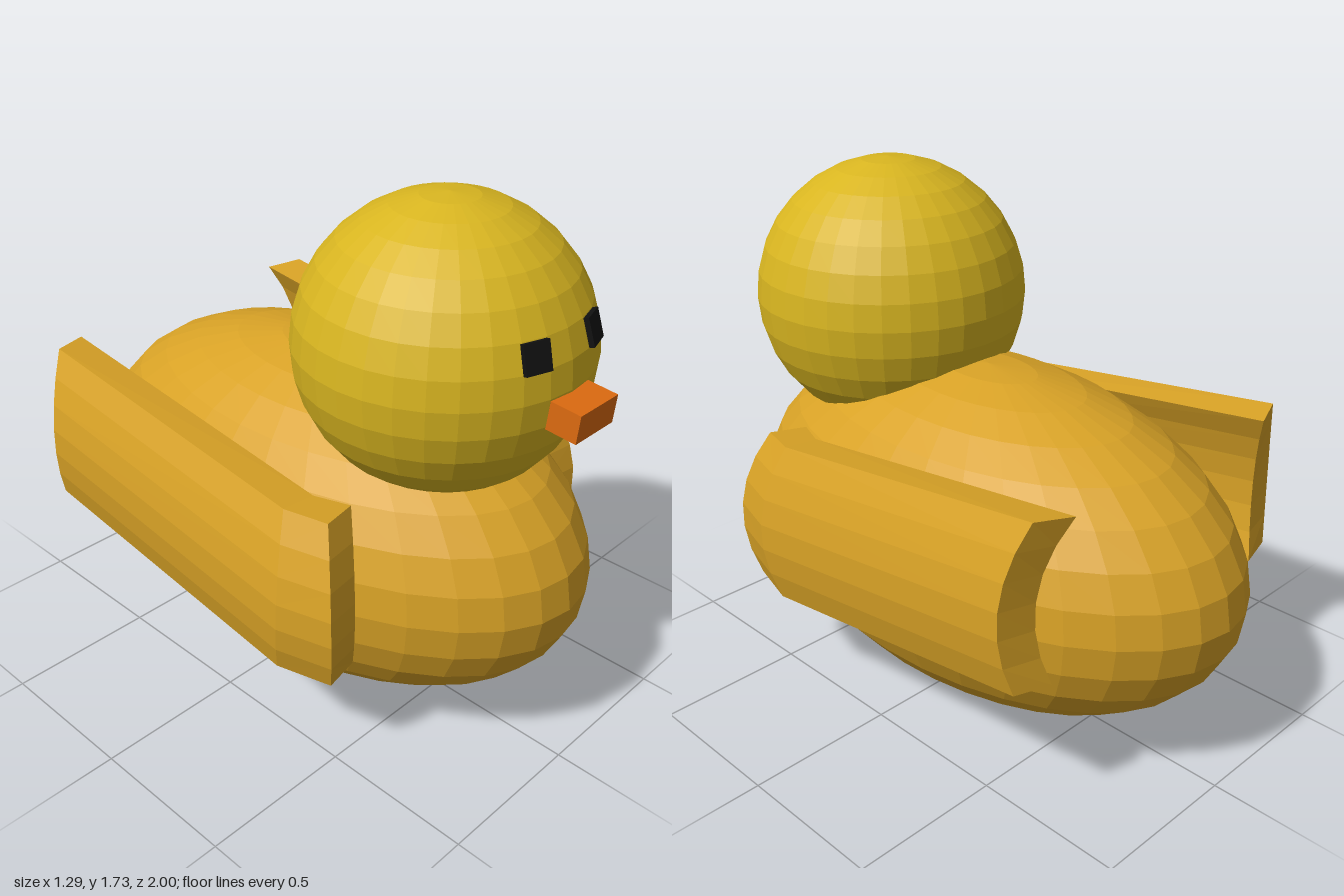
import * as THREE from 'three';

const paint = (color) => new THREE.MeshStandardMaterial({ color, flatShading: true });

function addMesh(parent, name, geometry, material) {
  const mesh = new THREE.Mesh(geometry, material);
  mesh.name = name;
  parent.add(mesh);
  return mesh;
}

// Point on the parabola through top, middle and bottom, t from 0 to 1
function bow([top, mid, bottom], t) {
  const a = 2 * (t - 0.5) * (t - 1), b = 4 * t * (1 - t), c = 2 * t * (t - 0.5);
  return top.map((v, i) => a * v + b * mid[i] + c * bottom[i]);
}

// Wing cross-sections from front to back: [outer, inner], each top, middle, bottom
const WING = [
  [[[0.52, 0.895, 0.49], [0.595, 0.63, 0.575], [0.56, 0.36, 0.54]],
    [[0.395, 0.885, 0.46], [0.47, 0.62, 0.55], [0.435, 0.355, 0.51]]],
  [[[0.56, 0.90, 0.35], [0.645, 0.63, 0.40], [0.61, 0.36, 0.36]],
    [[0.44, 0.89, 0.35], [0.52, 0.62, 0.40], [0.485, 0.355, 0.36]]],
  [[[0.56, 1.04, -0.73], [0.645, 0.78, -0.685], [0.61, 0.51, -0.715]],
    [[0.44, 1.03, -0.775], [0.52, 0.77, -0.71], [0.485, 0.50, -0.745]]],
];

function wingGeometry(side) {
  const n = 6, ring = 2 * (n + 1), positions = [], index = [];
  for (const [outer, inner] of WING) {
    for (let i = 0; i <= n; i++) positions.push(...bow(outer, i / n));
    for (let i = n; i >= 0; i--) positions.push(...bow(inner, i / n));
  }
  for (let i = 0; i < positions.length; i += 3) positions[i] *= side;
  const quad = (a, b, c, d) =>
    side > 0 ? index.push(a, b, c, a, c, d) : index.push(a, c, b, a, d, c);
  // Skin between the cross-sections
  for (let s = 0; s < WING.length - 1; s++) {
    for (let j = 0; j < ring; j++) {
      const a = s * ring + j, b = s * ring + ((j + 1) % ring);
      quad(a, b, b + ring, a + ring);
    }
  }
  // Front and back ends
  const last = (WING.length - 1) * ring;
  for (let i = 0; i < n; i++) {
    const j = ring - 1 - i;
    quad(i, j, j - 1, i + 1);
    quad(last + i, last + i + 1, last + j - 1, last + j);
  }
  const geometry = new THREE.BufferGeometry();
  geometry.setAttribute('position', new THREE.Float32BufferAttribute(positions, 3));
  geometry.setIndex(index);
  geometry.computeVertexNormals();
  return geometry;
}

export function createModel() {
  const duck = new THREE.Group();
  duck.name = 'duck';
  const amber = paint(0xd8a226), yellow = paint(0xd8b520);
  const orange = paint(0xdc6a10), black = paint(0x111111);

  // Egg-shaped body
  const body = addMesh(duck, 'body', new THREE.SphereGeometry(1, 32, 16), amber);
  body.scale.set(0.565, 0.565, 0.99);
  body.position.set(0, 0.57, -0.01);

  // Round head sunk into the body
  const head = addMesh(duck, 'head', new THREE.SphereGeometry(0.455, 32, 16), yellow);
  head.position.set(0, 1.28, 0.455);

  // Beak, tipped slightly down
  const beak = addMesh(duck, 'beak', new THREE.BoxGeometry(0.175, 0.09, 0.2), orange);
  beak.position.set(0, 1.23, 0.896);
  beak.rotation.x = 0.09;

  // Eyes facing out from the head, and bowed wings
  for (const side of [1, -1]) {
    const label = side > 0 ? 'left' : 'right';
    const eye = addMesh(duck, label + 'Eye', new THREE.BoxGeometry(0.085, 0.088, 0.025), black);
    const out = new THREE.Vector3(0.13 * side, 0.13, 0.415);
    eye.position.copy(head.position).add(out);
    eye.lookAt(eye.position.clone().add(out));
    addMesh(duck, label + 'Wing', wingGeometry(side), amber);
  }
  return duck;
}
